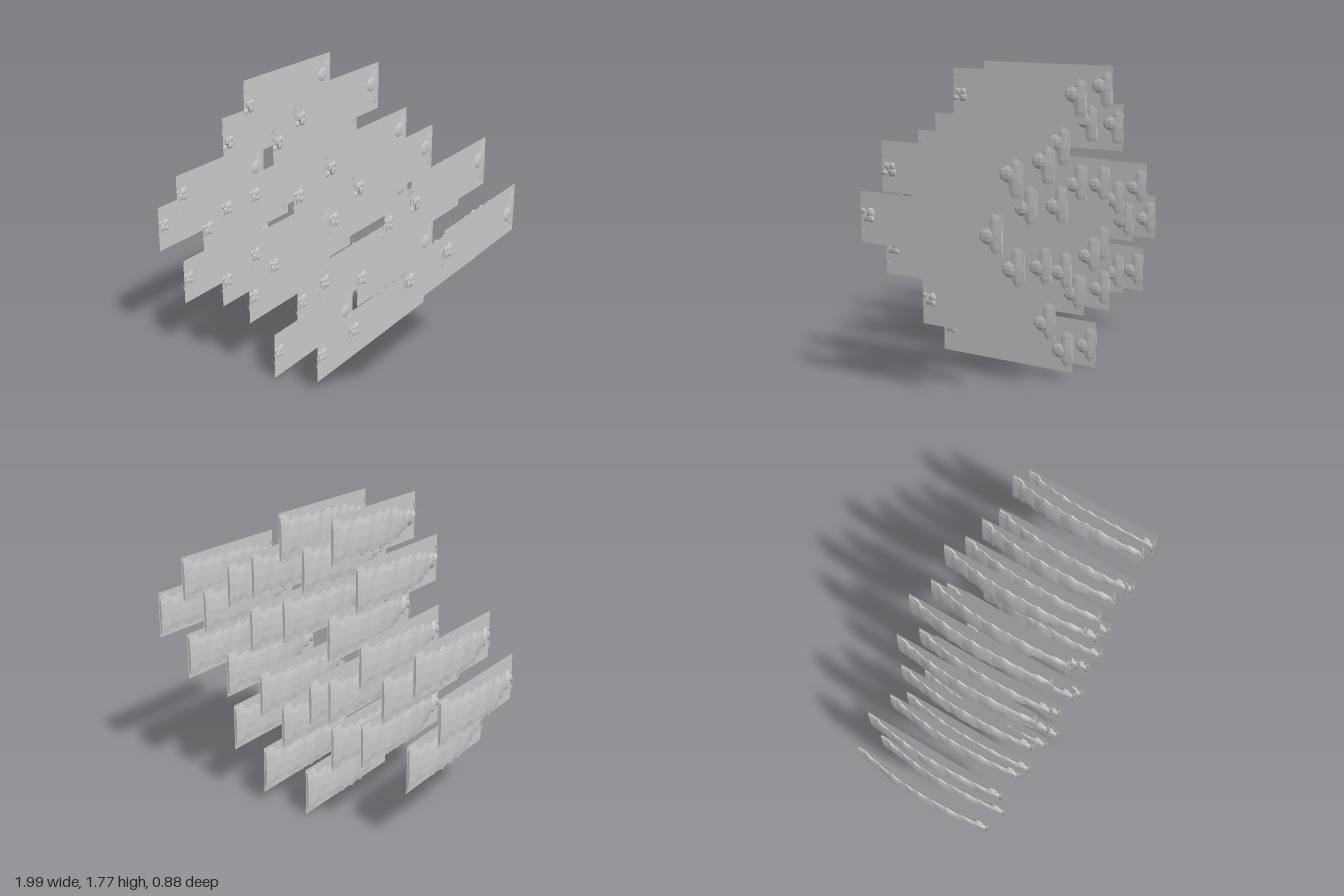
import * as THREE from 'three';

const grey = new THREE.MeshStandardMaterial({ color: 0xcccccc, flatShading: true, side: THREE.DoubleSide });

// Unit centres (x, y)
const centres = [
  [-0.295, 1.63], [0.045, 1.61], [-0.105, 1.45], [-0.45, 1.395], [0.24, 1.365], [0.415, 1.285], [0.755, 1.265],
  [0.6, 1.1], [0.03, 1.14], [-0.27, 1.09], [0.26, 1.05], [0.95, 1.02], [-0.81, 0.99], [-0.475, 0.97],
  [-0.62, 0.81], [-0.965, 0.76], [-0.275, 0.725], [-0.145, 0.685], [0.2, 0.665], [0.44, 0.745], [0.735, 0.8],
  [-0.785, 0.455], [-0.49, 0.51], [-0.295, 0.45], [0.045, 0.505], [0.395, 0.42], [-0.12, 0.14], [0.18, 0.2],
];

// Sideways bend of the body along its length
const bend = (z) => Math.min(-0.025 + 0.27 * z * z, 0.016);

// Height of the body edge: tall tail, scalloped flanks, narrow head
function edge(z, phase) {
  const scallop = 0.022 * Math.abs(Math.sin(z * 34 + phase));
  if (z < -0.36) return 0.134 - scallop * 0.4;
  const taper = THREE.MathUtils.smoothstep(z, 0.05, 0.42);
  return THREE.MathUtils.lerp(0.117, 0.045, taper) - scallop;
}

// Thin lens-shaped sections lofted from tail to head
function bodyGeometry() {
  const rows = 64, sides = 10, pos = [], index = [];
  for (let i = 0; i <= rows; i++) {
    const z = -0.435 + 0.85 * i / rows;
    const top = edge(z, 0), bottom = -edge(z, 0.9);
    const thick = 0.006 + 0.007 * Math.abs(Math.cos(z * 17));
    for (let j = 0; j < sides; j++) {
      const a = j / sides * Math.PI * 2;
      pos.push(bend(z) + thick * Math.cos(a), (top + bottom) / 2 + (top - bottom) / 2 * Math.sin(a), z);
    }
  }
  for (let i = 0; i < rows; i++) {
    for (let j = 0; j < sides; j++) {
      const a = i * sides + j, b = i * sides + (j + 1) % sides;
      index.push(a, b, a + sides, b, b + sides, a + sides);
    }
  }
  // End caps
  const last = rows * sides;
  for (let j = 1; j < sides - 1; j++) {
    index.push(0, j + 1, j, last, last + j, last + j + 1);
  }
  const g = new THREE.BufferGeometry();
  g.setAttribute('position', new THREE.Float32BufferAttribute(pos, 3));
  g.setIndex(index);
  g.computeVertexNormals();
  return g;
}

export function createModel() {
  const model = new THREE.Group();
  model.name = 'panelCluster';

  const panelGeo = new THREE.PlaneGeometry(0.875, 0.28).rotateY(Math.PI / 2);
  const bodyGeo = bodyGeometry();
  const headGeo = new THREE.SphereGeometry(1, 8, 6);
  const feelerGeo = new THREE.ConeGeometry(0.006, 0.055, 5);

  centres.forEach(([x, y]) => {
    const unit = new THREE.Group();
    unit.name = 'unit';
    unit.position.set(x, y, 0);
    const add = (parent, name, geo, px = 0, py = 0, pz = 0) => {
      const m = new THREE.Mesh(geo, grey);
      m.name = name;
      m.position.set(px, py, pz);
      parent.add(m);
      return m;
    };
    add(unit, 'panel', panelGeo, 0.022, 0, -0.0025);

    // The upper units carry their body upside down
    const creature = new THREE.Group();
    creature.name = 'curvedBody';
    creature.scale.y = y > 1.2 ? -1 : 1;
    unit.add(creature);
    add(creature, 'body', bodyGeo);

    // Knobs and feelers at the front end
    add(creature, 'headKnob', headGeo, 0.019, 0.025, 0.37).scale.set(0.013, 0.03, 0.03);
    add(creature, 'lowerKnob', headGeo, 0.025, -0.005, 0.365).scale.set(0.008, 0.02, 0.02);
    add(creature, 'frontKnob', headGeo, 0.024, 0.035, 0.42).scale.set(0.006, 0.015, 0.018);
    add(creature, 'feeler', feelerGeo, 0.03, 0.02, 0.4).rotation.set(-0.4, 0, -2.7);
    add(creature, 'feeler', feelerGeo, 0.012, -0.05, 0.425).rotation.set(0.3, 0, 0.3);

    // Tail root swelling through the panel
    add(creature, 'tailRoot', headGeo, 0.019, -0.02, -0.36).scale.set(0.012, 0.045, 0.06);
    model.add(unit);
  });
  return model;
}
